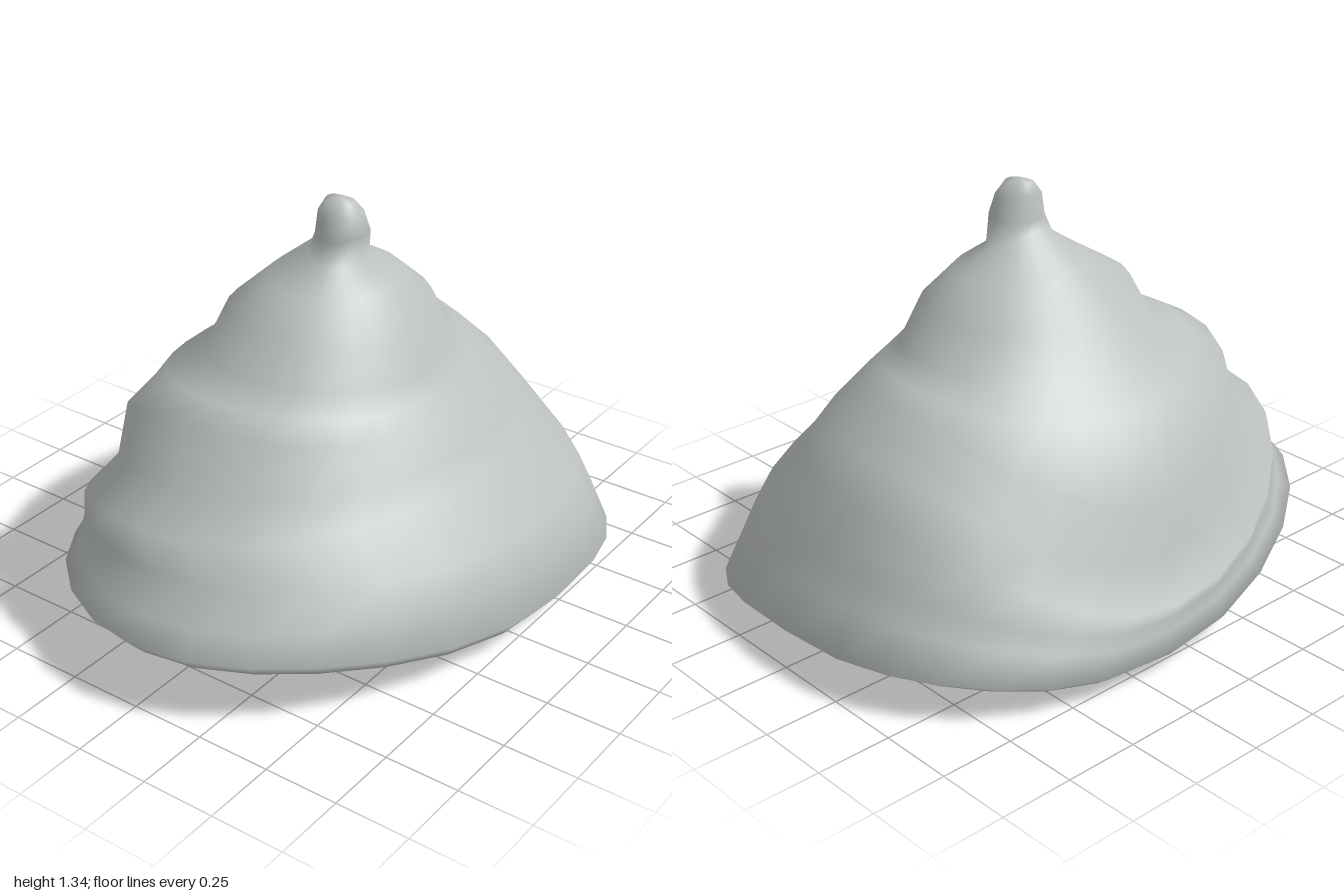
import * as THREE from 'three';

const SEG = 28;

// Each ring: reach and height at left (+x), right (-x), front (+z), back (-z),
// then centre z and how strongly the uneven brim is felt.
const EDGE = [0.765, 0.05, 0.745, 0.015, 0.955, 0.178, 0.945, 0.09, -0.15, 1];
const CROWN = [
  [0.805, 0.10, 0.81, 0.065, 1.0, 0.225, 1.0, 0.135, -0.15, 1],
  [0.775, 0.24, 0.79, 0.13, 0.93, 0.29, 0.93, 0.28, -0.14, 0.6],
  [0.73, 0.36, 0.785, 0.17, 0.87, 0.41, 0.885, 0.37, -0.12, 0.4],
  [0.58, 0.53, 0.78, 0.20, 0.82, 0.50, 0.81, 0.55, -0.08, 0.2],
  [0.535, 0.61, 0.69, 0.31, 0.69, 0.60, 0.72, 0.65, -0.05, 0.1],
  [0.46, 0.71, 0.67, 0.49, 0.61, 0.77, 0.60, 0.77, -0.02, 0],
  [0.41, 0.77, 0.52, 0.72, 0.52, 0.82, 0.52, 0.81, 0, 0],
  [0.36, 0.83, 0.38, 0.83, 0.42, 0.87, 0.44, 0.85, 0, 0],
  [0.31, 0.96, 0.32, 0.96, 0.35, 1.0, 0.37, 0.97, 0, 0],
  [0.21, 1.07, 0.19, 1.08, 0.22, 1.08, 0.25, 1.07, 0, 0],
];
const KNOB = [
  [0.11, 1.14, 0.05, 1.19, 0.11, 1.15, 0.13, 1.14, 0, 0],
  [0.13, 1.235, 0.04, 1.22, 0.085, 1.22, 0.095, 1.22, 0, 0],
  [0.11, 1.29, 0.03, 1.30, 0.075, 1.285, 0.08, 1.285, 0, 0],
  [0.085, 1.33, 0.01, 1.335, 0.045, 1.325, 0.045, 1.325, 0, 0],
];
// Lift or droop of the brim at its four corners: front left, back left, back right, front right
const CORNERS = [0.035, -0.07, 0.03, 0.04];

function ringPoint(ring, j) {
  const [px, ypx, nx, ynx, pz, ypz, nz, ynz, cz, fade] = ring;
  const t = (j / SEG) * Math.PI * 2;
  const s = Math.sin(t), c = Math.cos(t);
  const cx = (px - nx) / 2, rx = (px + nx) / 2;
  const p = c < 0 ? 2 + 0.45 * fade : 2; // the back of the brim is squarer
  const bend = v => Math.sign(v) * Math.pow(Math.abs(v), 2 / p);
  const x = cx + rx * bend(s);
  const z = cz + bend(c) * (c > 0 ? pz - cz : nz + cz);
  const corner = CORNERS[Math.floor((j / SEG) * 4) % 4] * Math.sin(2 * t) ** 2;
  const y = (s > 0 ? ypx : ynx) * s * s + (c > 0 ? ypz : ynz) * c * c + corner * fade;
  return [x, Math.max(y, 0), z];
}

function loft(rings, startTip, endTip) {
  const pos = [], idx = [];
  rings.forEach(r => { for (let j = 0; j < SEG; j++) pos.push(...ringPoint(r, j)); });
  const start = rings.length * SEG, end = start + 1;
  pos.push(...startTip, ...endTip);
  const last = (rings.length - 1) * SEG;
  for (let j = 0; j < SEG; j++) {
    const k = (j + 1) % SEG;
    for (let i = 0; i < rings.length - 1; i++) {
      const a = i * SEG + j, b = i * SEG + k;
      idx.push(a, b, b + SEG, a, b + SEG, a + SEG);
    }
    idx.push(start, k, j, last + j, last + k, end);
  }
  const g = new THREE.BufferGeometry();
  g.setAttribute('position', new THREE.Float32BufferAttribute(pos, 3));
  g.setIndex(idx);
  g.computeVertexNormals();
  return g;
}

export function createModel() {
  const group = new THREE.Group();
  group.name = 'hat';
  const felt = new THREE.MeshStandardMaterial({ color: 0xbcc0c0 });
  felt.name = 'greyFelt';

  // Lining follows the crown a little further in, skipping its folds, from the peak down
  const lining = [9, 8, 6, 5, 3, 1].map(n =>
    CROWN[n].map((v, i) => (i < 8 ? (i % 2 ? v - 0.02 : v - 0.055) : v)));

  // The lining meets the outside in a thin edge under the brim
  const inside = new THREE.Mesh(loft([...lining, EDGE], [0.01, 1.09, 0], [0, 0, 0]), felt);
  inside.geometry.setIndex(openEnd(inside.geometry));
  inside.geometry.computeVertexNormals();
  inside.name = 'lining';

  const outside = new THREE.Mesh(
    loft([EDGE, ...CROWN, ...KNOB], [0, 0, 0], [0.035, 1.342, 0]), felt);
  outside.geometry.setIndex(openEnd(outside.geometry));
  outside.geometry.computeVertexNormals();
  outside.name = 'crownAndKnob';

  group.add(inside, outside);
  return group;
}

// Drops the fan that would close the opening of the hat, at the origin
function openEnd(g) {
  const p = g.attributes.position, idx = Array.from(g.index.array), kept = [];
  for (let i = 0; i < idx.length; i += 3) {
    const tri = idx.slice(i, i + 3);
    if (!tri.some(v => p.getX(v) === 0 && p.getY(v) === 0 && p.getZ(v) === 0)) kept.push(...tri);
  }
  return kept;
}
